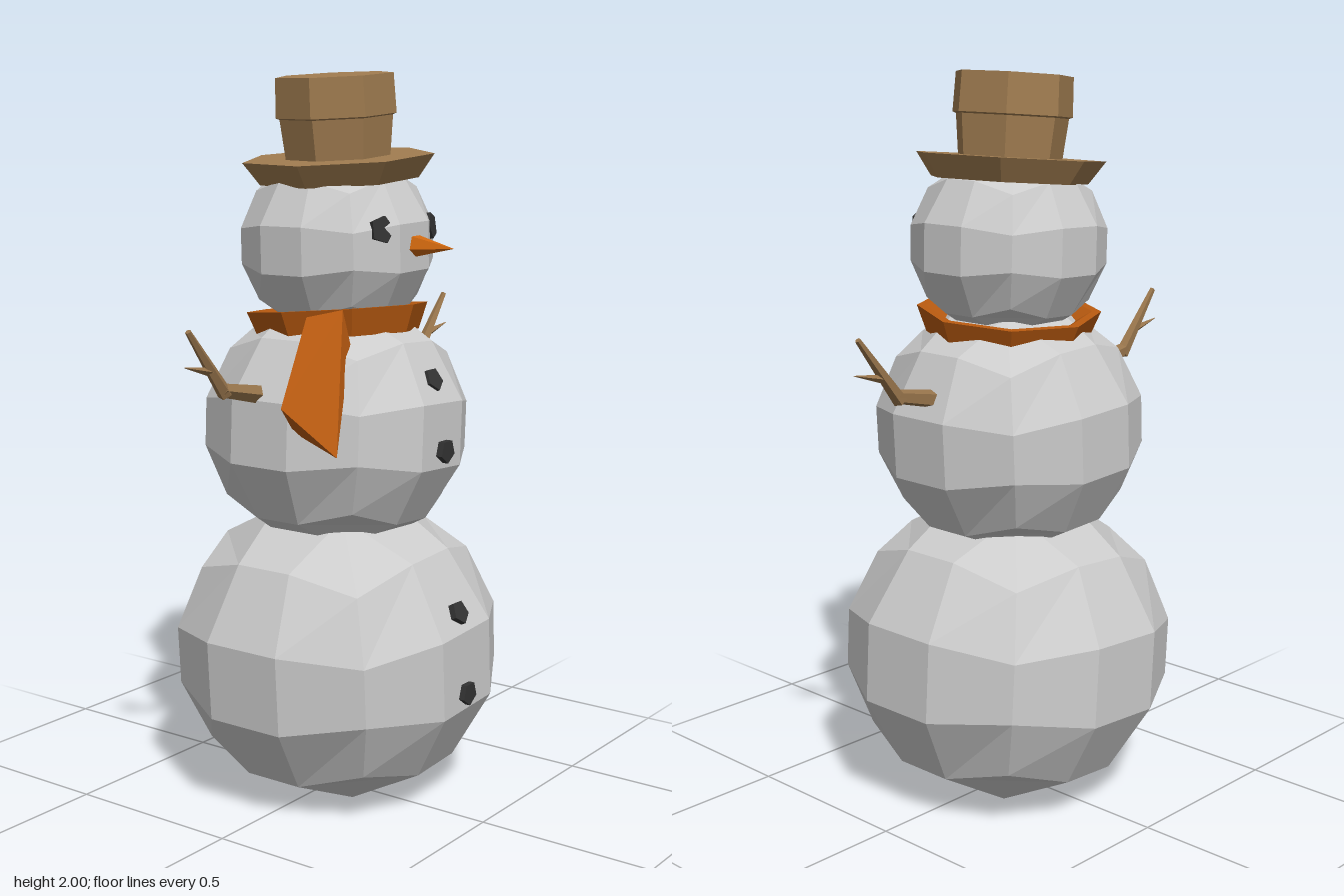
import * as THREE from 'three';
import { ConvexGeometry } from 'three/addons/geometries/ConvexGeometry.js';

const flat = (color) => new THREE.MeshStandardMaterial({ color, flatShading: true });
const V = (x, y, z) => new THREE.Vector3(x, y, z);
const UP = V(0, 1, 0);

export function createModel() {
  const model = new THREE.Group();
  const snow = flat(0xcccccc), brown = flat(0xa07c50), wood = flat(0x97744b);
  const orange = flat(0xb85a10), carrot = flat(0xd2690f), coal = flat(0x333333);

  const add = (name, geometry, material, parent = model) => {
    const mesh = new THREE.Mesh(geometry, material);
    mesh.name = name;
    parent.add(mesh);
    return mesh;
  };

  // Box with three segments a side, spread by equal angles onto a sphere
  const ballGeometry = (radius) => {
    const geometry = new THREE.BoxGeometry(2, 2, 2, 3, 3, 3);
    const pos = geometry.attributes.position;
    const spread = (t) => Math.tan(t * Math.PI / 4);
    for (let i = 0; i < pos.count; i++) {
      const p = V(spread(pos.getX(i)), spread(pos.getY(i)), spread(pos.getZ(i)));
      p.setLength(radius);
      pos.setXYZ(i, p.x, p.y * 0.945, p.z);
    }
    geometry.computeVertexNormals();
    return geometry;
  };

  // Tapered rod between two points
  const rod = (name, from, to, r0, r1, sides, material, parent) => {
    const dir = to.clone().sub(from);
    const mesh = add(name, new THREE.CylinderGeometry(r1, r0, dir.length(), sides), material, parent);
    mesh.position.copy(from).add(to).multiplyScalar(0.5);
    mesh.quaternion.setFromUnitVectors(UP, dir.normalize());
    return mesh;
  };

  // Snowballs: centre x, centre y, radius, lean
  for (const [name, x, y, r, lean] of [
    ['lowerBody', 0.02, 0.408, 0.46, 0.06],
    ['upperBody', 0.013, 1.04, 0.37, -0.05],
    ['head', 0.016, 1.535, 0.268, 0.03],
  ]) {
    const geometry = ballGeometry(r);
    const ball = add(name, geometry, snow);
    ball.position.set(x, y, 0);
    ball.rotation.z = lean;
    if (name === 'lowerBody') {
      // The middle tile underneath is brown
      const index = Array.from(geometry.index.array);
      const base = geometry.clone();
      base.setIndex(index.splice(186, 6));
      base.clearGroups();
      geometry.clearGroups();
      geometry.setIndex(index);
      add('baseTile', base, brown, ball);
    }
  }

  // Coal eyes and buttons: position, then the direction each one faces
  const coals = [
    ['rightEye', V(-0.093, 1.583, 0.215), V(-0.35, 0.15, 1)],
    ['leftEye', V(0.133, 1.583, 0.215), V(0.35, 0.15, 1)],
    ['button', V(0.015, 1.185, 0.308), V(0, 0.5, 1)],
    ['button', V(0.015, 1.0, 0.35), V(0, 0, 1)],
    ['button', V(0.005, 0.565, 0.405), V(0, 0.5, 1)],
    ['button', V(0.012, 0.345, 0.432), V(0, 0, 1)],
  ];
  for (const [name, at, facing] of coals) {
    const half = facing.normalize().multiplyScalar(0.014);
    const r = name === 'button' ? 0.033 : 0.037;
    rod(name, at.clone().sub(half), at.clone().add(half), r, r, 5, coal);
  }

  // Carrot nose
  rod('nose', V(0.022, 1.54, 0.22), V(0.018, 1.535, 0.372), 0.038, 0, 5, carrot);

  // Hat: flared brim and a crown that steps out halfway up
  const hat = new THREE.Group();
  hat.name = 'hat';
  hat.position.set(0.02, 1.705, 0);
  hat.rotation.z = 0.08;
  model.add(hat);
  const turned = (profile, sides, start) =>
    new THREE.LatheGeometry(profile.map(([r, y]) => new THREE.Vector2(r, y)), sides, start);
  add('brim', turned([[0, 0], [0.218, 0], [0.263, 0.062], [0, 0.062]], 7, Math.PI), brown, hat);
  add('crown', turned([[0.143, 0.055], [0.155, 0.168], [0.165, 0.172], [0.161, 0.277], [0, 0.277]],
    7, Math.PI), brown, hat);

  // Scarf: band whose top slopes in to the neck, and a hanging tail
  const scarf = new THREE.Group();
  scarf.name = 'scarf';
  model.add(scarf);
  const band = add('scarfBand', turned(
    [[0.17, -0.04], [0.222, -0.036], [0.25, 0.036], [0.225, 0.036], [0.17, 0.0], [0.17, -0.04]], 8, 0), orange, scarf);
  band.position.set(0.012, 1.325, 0.005);
  band.rotation.set(-0.09, 0, -0.03);
  add('scarfTail', new ConvexGeometry([
    V(-0.23, 1.36, 0.08), V(-0.18, 1.38, 0.16), V(-0.16, 1.29, 0.17), V(-0.2, 1.28, 0.08),
    V(-0.39, 1.145, 0.12), V(-0.335, 1.025, 0.255), V(-0.26, 1.07, 0.2),
    V(-0.255, 1.13, 0.16), V(-0.31, 1.07, 0.1),
  ]), orange, scarf);

  // Stick arms, mirrored
  for (const s of [-1, 1]) {
    const arm = new THREE.Group();
    arm.name = s > 0 ? 'leftArm' : 'rightArm';
    model.add(arm);
    const z = -0.02, elbow = V(s * 0.455, 1.188, z), fork = V(s * 0.497, 1.24, z);
    rod('upperArm', V(s * 0.29, 1.155, z), elbow, 0.026, 0.019, 5, wood, arm);
    rod('forearm', V(s * 0.44, 1.175, z), V(s * 0.58, 1.35, z), 0.02, 0.008, 5, wood, arm);
    rod('twig', fork, V(s * 0.595, 1.262, z), 0.012, 0.001, 4, wood, arm);
  }

  return model;
}
